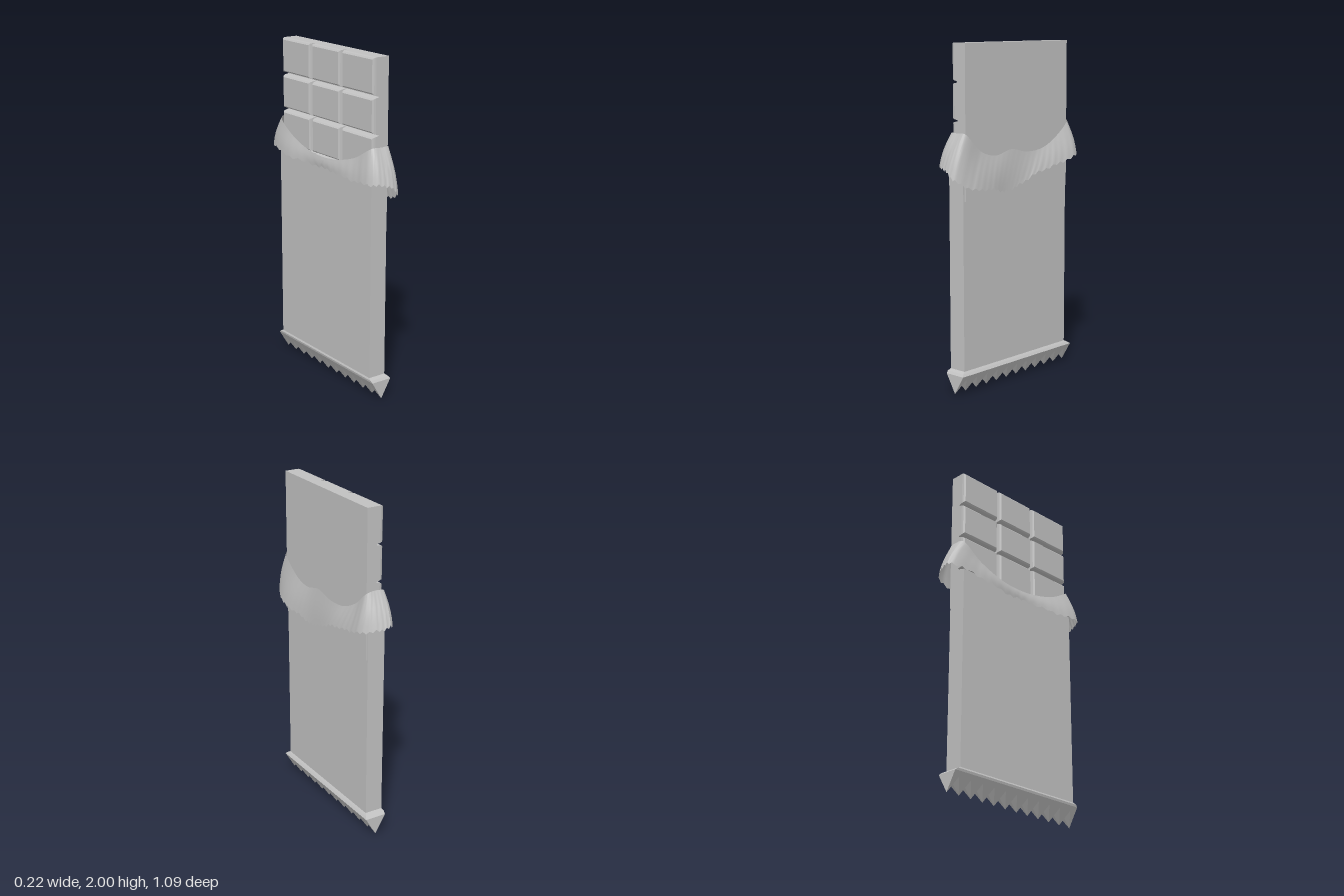
import * as THREE from 'three';
import { toCreasedNormals } from 'three/addons/utils/BufferGeometryUtils.js';

const grey = new THREE.MeshStandardMaterial({ color: 0xc0c0c0, side: THREE.DoubleSide });
grey.name = 'plain grey';

function add(parent, name, geometry) {
  const mesh = new THREE.Mesh(geometry, grey);
  mesh.name = name;
  parent.add(mesh);
  return mesh;
}

function box(x0, x1, y0, y1, z0, z1) {
  return new THREE.BoxGeometry(x1 - x0, y1 - y0, z1 - z0)
    .translate((x0 + x1) / 2, (y0 + y1) / 2, (z0 + z1) / 2);
}

// Triangles given as point triples, flat shaded
function facets(triangles) {
  const g = new THREE.BufferGeometry();
  g.setAttribute('position', new THREE.Float32BufferAttribute(triangles.flat(2), 3));
  g.computeVertexNormals();
  return g;
}
const quad = (a, b, c, d) => [[a, b, c], [a, c, d]];

// Rectangular rings joined in order, with a cap on the last ring
function loft(rings) {
  const tris = [];
  for (let r = 0; r + 1 < rings.length; r++) {
    for (let i = 0; i < 4; i++) {
      const j = (i + 1) % 4;
      tris.push(...quad(rings[r][i], rings[r][j], rings[r + 1][j], rings[r + 1][i]));
    }
  }
  tris.push(...quad(...rings[rings.length - 1]));
  return facets(tris);
}

// Bar: a slab with bevelled squares on the -x side
function makeBar() {
  const bar = new THREE.Group();
  bar.name = 'chocolateBar';
  add(bar, 'barSlab', box(-0.012, 0.05, 1.12, 2, -0.43, 0.445));
  const ys = [1.12, 1.355, 1.57, 1.785, 2];
  const zs = [-0.43, -0.14, 0.148, 0.445];
  const layers = [[-0.012, 0.003, 0], [-0.035, 0.008, 0], [-0.047, 0.012, 0.003], [-0.055, 0.02, 0.012]];
  for (let r = 0; r < 4; r++) {
    for (let c = 0; c < 3; c++) {
      add(bar, 'barSquare', loft(layers.map(([x, groove, rim]) => {
        const y0 = ys[r] + groove, y1 = ys[r + 1] - (r === 3 ? rim : groove);
        const z0 = zs[c] + (c === 0 ? rim : groove), z1 = zs[c + 1] - (c === 2 ? rim : groove);
        return [[x, y0, z0], [x, y0, z1], [x, y1, z1], [x, y1, z0]];
      })));
    }
  }
  return bar;
}

// Crimped end: flared collar, then a wedge cut into teeth
function makeCrimp() {
  const crimp = new THREE.Group();
  crimp.name = 'crimpedEnd';
  const ring = (y, x0, x1, z0, z1) => [[x0, y, z0], [x0, y, z1], [x1, y, z1], [x1, y, z0]];
  add(crimp, 'crimpCollar', loft([
    ring(0.135, -0.07, 0.04, -0.435, 0.455),
    ring(0.125, -0.075, 0.05, -0.455, 0.475),
    ring(0.112, -0.072, 0.06, -0.472, 0.487),
  ]));
  const teeth = 11, zA = -0.472, step = 0.959 / teeth, mid = -0.006, top = 0.112;
  const left = -0.072, right = 0.06, valley = 0.085;
  const at = (x) => mid + (x - mid) * valley / top;
  const tris = [];
  for (let i = 0; i < teeth; i++) {
    const z0 = zA + i * step, z1 = z0 + step, zm = z0 + step / 2;
    const tip0 = [mid, 0, z0], tip1 = [mid, 0, z1], core = [mid, 0.055, zm];
    for (const x of [left, right]) {
      const notch = [at(x), valley, zm];
      const face = [
        [[x, top, z0], tip0, notch],
        [[x, top, z0], notch, [x, top, z1]],
        [[x, top, z1], notch, tip1],
        [tip0, core, notch],
        [core, tip1, notch],
      ];
      tris.push(...(x === left ? face : face.map(([a, b, c]) => [a, c, b])));
    }
  }
  const zB = zA + teeth * step;
  tris.push([[left, top, zA], [right, top, zA], [mid, 0, zA]]);
  tris.push([[left, top, zB], [mid, 0, zB], [right, top, zB]]);
  add(crimp, 'crimpTeeth', facets(tris));
  return crimp;
}

// Torn wrapper edge folded outward all round: fold curve above, ragged hem below
const fold = [
  [0.05, 1.5, 0.45], [0.055, 1.39, 0.32], [0.055, 1.36, 0.2], [0.055, 1.385, 0.07],
  [0.055, 1.36, -0.06], [0.055, 1.37, -0.2], [0.055, 1.43, -0.33], [0.05, 1.52, -0.435],
  [0, 1.53, -0.44], [-0.06, 1.52, -0.435], [-0.07, 1.43, -0.3], [-0.07, 1.37, -0.1],
  [-0.07, 1.37, 0.1], [-0.07, 1.42, 0.3], [-0.06, 1.5, 0.445], [0, 1.5, 0.452],
];
const hem = [
  [0.05, 1.25, 0.54], [0.09, 1.19, 0.42], [0.085, 1.175, 0.26], [0.07, 1.148, 0.14],
  [0.07, 1.17, 0.03], [0.085, 1.23, -0.12], [0.1, 1.27, -0.3], [0.103, 1.31, -0.465],
  [0.02, 1.33, -0.53], [-0.055, 1.34, -0.53], [-0.095, 1.31, -0.33], [-0.073, 1.3, -0.08],
  [-0.08, 1.3, 0.1], [-0.103, 1.3, 0.33], [-0.1, 1.31, 0.5], [-0.02, 1.3, 0.54],
];

function makeFlap() {
  const [upper, lower] = [fold, hem].map((pts) =>
    new THREE.CatmullRomCurve3(pts.map((p) => new THREE.Vector3(...p)), true, 'centripetal'));
  const segments = 192, rows = 5, positions = [], index = [];
  for (let i = 0; i <= segments; i++) {
    const u = (i % segments) / segments;
    const a = upper.getPoint(u), b = lower.getPoint(u);
    b.y += 0.007 * Math.sin(u * Math.PI * 2 * 48) + 0.003 * Math.sin(u * Math.PI * 2 * 17);
    for (let r = 0; r <= rows; r++) {
      const t = r / rows, p = a.clone().lerp(b, t), bulge = 0.02 * Math.sin(t * Math.PI);
      positions.push(p.x * (1 + bulge * 3), p.y, p.z * (1 + bulge));
      if (i < segments && r < rows) {
        const k = i * (rows + 1) + r, n = k + rows + 1;
        index.push(k, k + 1, n, n, k + 1, n + 1);
      }
    }
  }
  const g = new THREE.BufferGeometry();
  g.setAttribute('position', new THREE.Float32BufferAttribute(positions, 3));
  g.setIndex(index);
  // Wind outward
  for (let i = 0; i < index.length; i += 3) [index[i + 1], index[i + 2]] = [index[i + 2], index[i + 1]];
  g.setIndex(index);
  return toCreasedNormals(g, 0.7);
}

export function createModel() {
  const model = new THREE.Group();
  model.name = 'wrappedBar';
  model.add(makeBar());
  add(model, 'wrapperBody', box(-0.07, 0.04, 0.13, 1.335, -0.435, 0.455));
  model.add(makeCrimp());
  add(model, 'foldedFlap', makeFlap());
  return model;
}
